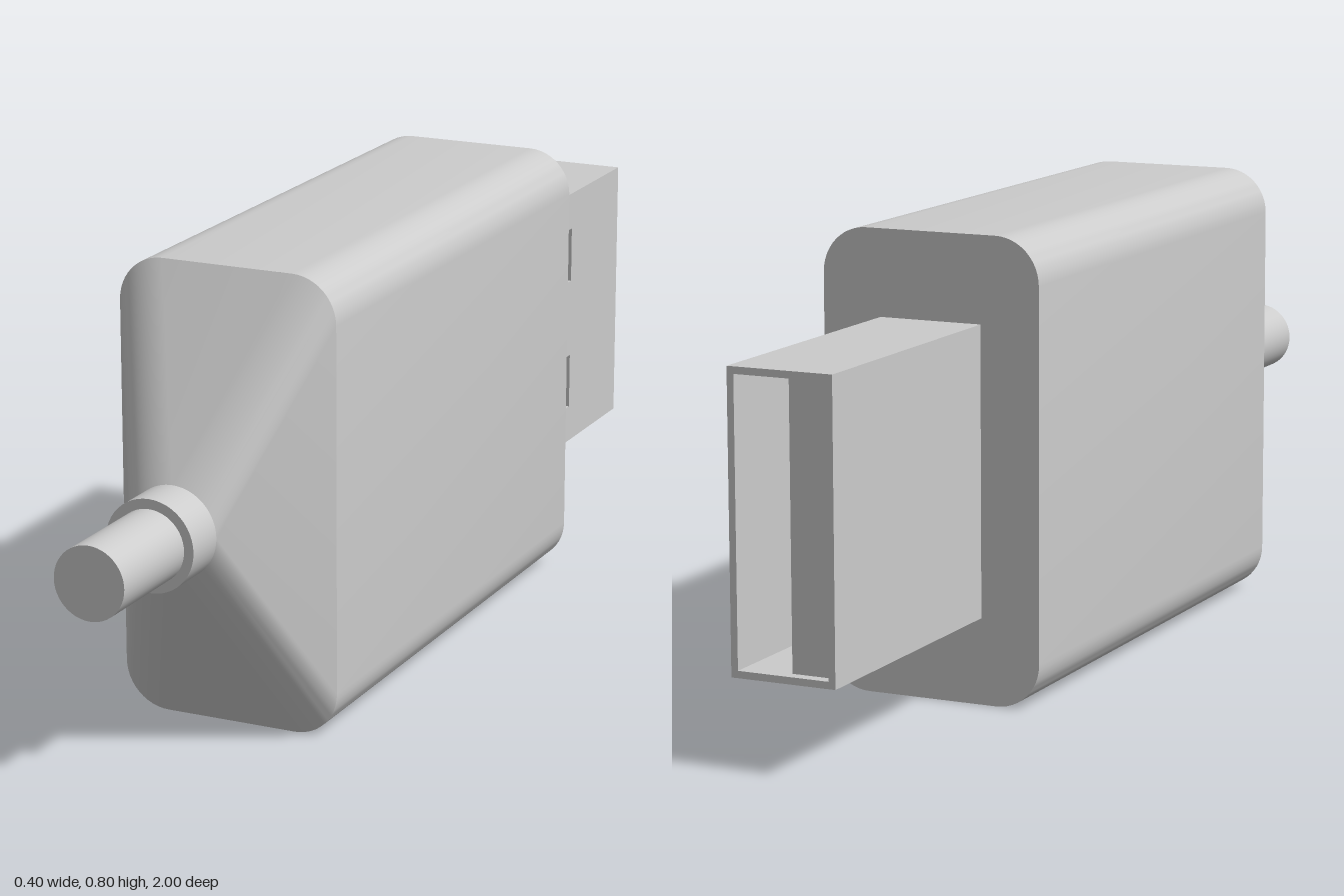
import * as THREE from 'three';
import { toCreasedNormals } from 'three/addons/utils/BufferGeometryUtils.js';

const CY = 0.4; // height of the long axis
const material = new THREE.MeshStandardMaterial({ color: 0xcccccc });

function add(parent, name, geometry, x = 0, y = 0, z = 0) {
  const mesh = new THREE.Mesh(geometry, material);
  mesh.name = name;
  mesh.position.set(x, y, z);
  parent.add(mesh);
  return mesh;
}

// Box given by its min and max corners
function addBox(parent, name, [x0, y0, z0], [x1, y1, z1]) {
  return add(parent, name, new THREE.BoxGeometry(x1 - x0, y1 - y0, z1 - z0),
    (x0 + x1) / 2, (y0 + y1) / 2, (z0 + z1) / 2);
}

// Cylinder along z
function addRod(parent, name, radius, z0, z1) {
  const geometry = new THREE.CylinderGeometry(radius, radius, z1 - z0, 48).rotateX(Math.PI / 2);
  return add(parent, name, geometry, 0, CY, (z0 + z1) / 2);
}

// Counter-clockwise outline of four quarter arcs, pushed out to (hw, hh)
function roundedOutline(hw, hh, r, steps = 12) {
  const points = [];
  for (let q = 0; q < 4; q++) {
    const sx = q === 0 || q === 3 ? 1 : -1, sy = q < 2 ? 1 : -1;
    for (let i = 0; i <= steps; i++) {
      const a = (q + i / steps) * Math.PI / 2;
      points.push(new THREE.Vector2(
        sx * (hw - r) + r * Math.cos(a), sy * (hh - r) + r * Math.sin(a)));
    }
  }
  return points;
}

// Skin between two matching outlines at different z
function loft(outlineA, zA, outlineB, zB) {
  const n = outlineA.length, positions = [], index = [];
  outlineA.forEach(p => positions.push(p.x, p.y, zA));
  outlineB.forEach(p => positions.push(p.x, p.y, zB));
  for (let i = 0; i < n; i++) {
    const j = (i + 1) % n;
    index.push(i, j, n + j);
    if (outlineB[i].distanceTo(outlineB[j]) > 1e-6) index.push(i, n + j, n + i);
  }
  const geometry = new THREE.BufferGeometry();
  geometry.setAttribute('position', new THREE.Float32BufferAttribute(positions, 3));
  geometry.setIndex(index);
  return toCreasedNormals(geometry, 0.6);
}

function createPlug() {
  const plug = new THREE.Group();
  plug.name = 'plug';
  const hw = 0.093, y0 = 0.15, y1 = 0.65, z0 = -1, z1 = -0.48, t = 0.012;

  // Metal sleeve: plain right, top and bottom walls
  addBox(plug, 'sleeveRightWall', [-hw, y0, z0], [-hw + t, y1, z1]);
  addBox(plug, 'sleeveBottomWall', [-hw + t, y0, z0], [hw - t, y0 + t, z1]);
  addBox(plug, 'sleeveTopWall', [-hw + t, y1 - t, z0], [hw - t, y1, z1]);

  // Left wall with two latch windows, drawn in (-z, y) and turned to face +x
  const wall = new THREE.Shape([[-z1, y0], [-z0, y0], [-z0, y1], [-z1, y1]]
    .map(p => new THREE.Vector2(...p)));
  for (const y of [0.22, 0.475]) {
    wall.holes.push(new THREE.Path([[0.66, y], [0.66, y + 0.105], [0.76, y + 0.105], [0.76, y]]
      .map(p => new THREE.Vector2(...p))));
  }
  const wallGeometry = new THREE.ExtrudeGeometry(wall, { depth: t, bevelEnabled: false });
  wallGeometry.rotateY(Math.PI / 2);
  add(plug, 'sleeveLeftWall', wallGeometry, hw - t, 0, 0);

  // Insulating tongue filling the right half, with four contacts on its face
  const face = -0.006;
  addBox(plug, 'tongue', [-hw + t, y0 + t, z0 + 0.02], [face, y1 - t, z1]);
  for (let i = 0; i < 4; i++) {
    const y = CY + (i - 1.5) * 0.115;
    addBox(plug, 'contact', [face, y - 0.03, z0 + 0.04], [face + 0.006, y + 0.03, z1]);
  }
  return plug;
}

export function createModel() {
  const model = new THREE.Group();
  model.name = 'cablePlug';

  // Housing with rounded long edges
  const outline = roundedOutline(0.2, 0.4, 0.08);
  const housing = new THREE.ExtrudeGeometry(
    new THREE.Shape(outline), { depth: 1, bevelEnabled: false });
  add(model, 'housing', toCreasedNormals(housing, 0.6), 0, CY, -0.48);

  // Taper from the housing outline to the round collar
  add(model, 'taper', loft(outline, 0.52, roundedOutline(0.08, 0.08, 0.08), 0.72), 0, CY, 0);

  // Strain relief and cable
  addRod(model, 'collar', 0.08, 0.72, 0.8);
  addRod(model, 'cable', 0.063, 0.8, 1);

  model.add(createPlug());
  return model;
}
